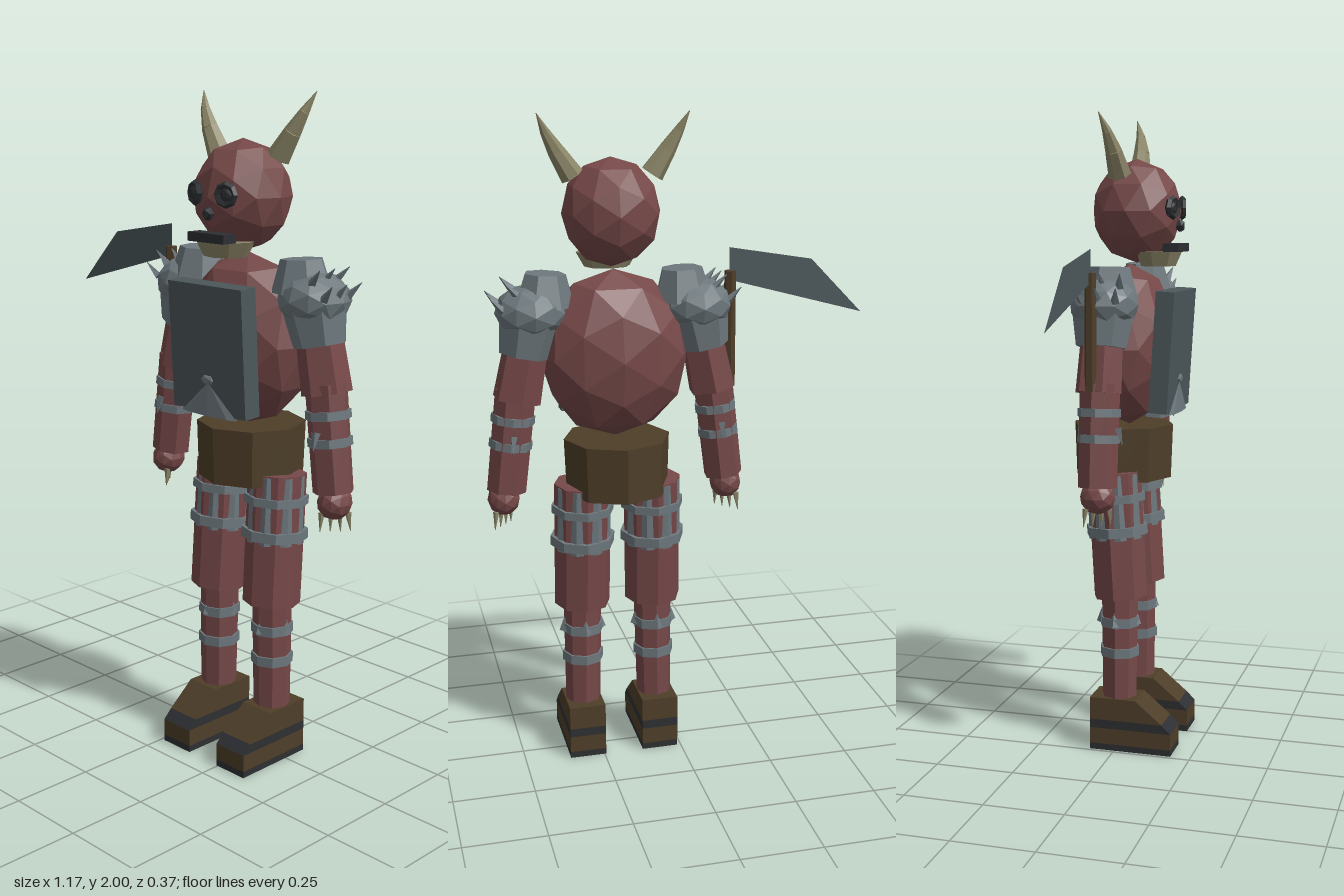
import * as THREE from 'three';

const material = (name, color, side = THREE.FrontSide) => {
  const m = new THREE.MeshStandardMaterial({ color, flatShading: true, side });
  m.name = name;
  return m;
};

export function createModel() {
  const red = material('red skin', 0x764848);
  const steel = material('light steel', 0x6d787d);
  const plate = material('dark steel', 0x4c575a);
  const blade = material('blade steel', 0x4c575a, THREE.DoubleSide);
  const leather = material('brown leather', 0x4e3e29);
  const bone = material('bone', 0x8c8768);
  const black = material('black', 0x2d2f32);

  const model = new THREE.Group();
  const body = new THREE.Group();
  body.name = 'body';
  body.position.x = 0.185;
  model.add(body);

  const add = (name, geometry, mat, pos = [0, 0, 0], parent = body) => {
    const mesh = new THREE.Mesh(geometry, mat);
    mesh.name = name;
    mesh.position.set(...pos);
    parent.add(mesh);
    return mesh;
  };
  // Faceted ball with its own radius on each axis
  const ball = (name, mat, pos, r, detail = 1) =>
    add(name, new THREE.IcosahedronGeometry(1, detail).scale(...r), mat, pos);
  // Tapered rod between two points
  const up = new THREE.Vector3(0, 1, 0);
  const rod = (name, mat, a, b, ra, rb, sides = 8, turn = 0) => {
    const p = new THREE.Vector3(...a), q = new THREE.Vector3(...b);
    const d = q.clone().sub(p);
    const g = new THREE.CylinderGeometry(rb, ra, d.length(), sides).rotateY(turn);
    const mesh = add(name, g, mat, p.clone().add(q).multiplyScalar(0.5).toArray());
    mesh.quaternion.setFromUnitVectors(up, d.normalize());
    return mesh;
  };
  // Band around a limb at fraction t of its axis
  const band = (name, a, b, t, h, r) => {
    const p = new THREE.Vector3(...a), q = new THREE.Vector3(...b);
    const mid = p.clone().lerp(q, t);
    const half = q.clone().sub(p).normalize().multiplyScalar(h / 2);
    rod(name, steel, mid.clone().sub(half).toArray(), mid.clone().add(half).toArray(), r, r);
  };

  // Torso and belt
  ball('torso', red, [0, 1.292, 0.003], [0.228, 0.255, 0.152]);
  rod('belt', leather, [0, 0.87, -0.017], [0, 1.04, -0.017], 0.157, 0.163);

  // Chest plate with a raised fan at its lower edge
  const chest = new THREE.Group();
  chest.name = 'chestPlate';
  chest.position.set(0, 1.28, 0.143);
  chest.rotation.x = 0.06;
  body.add(chest);
  add('chestSlab', new THREE.BoxGeometry(0.295, 0.375, 0.058), plate, [0, 0, 0], chest);
  const fan = new THREE.ConeGeometry(0.115, 0.1, 8).scale(1, 1, 0.12);
  add('chestFan', fan, steel, [0, -0.145, 0.028], chest);
  add('fanKnob', new THREE.IcosahedronGeometry(0.02, 0).scale(1.3, 0.8, 0.4), steel, [0, -0.09, 0.03], chest);

  // Head and face
  ball('head', red, [0, 1.71, 0.026], [0.148, 0.16, 0.142]);
  ball('nose', black, [0, 1.665, 0.165], [0.02, 0.022, 0.016], 0);
  add('mouth', new THREE.BoxGeometry(0.145, 0.026, 0.05), black, [0, 1.598, 0.152]);
  const jaw = new THREE.CylinderGeometry(0.095, 0.07, 0.045, 8).scale(1, 1, 0.8);
  add('jaw', jaw, bone, [0, 1.563, 0.095]);

  for (const s of [-1, 1]) {
    const side = s > 0 ? 'left' : 'right';
    const part = (n) => side + n;

    // Eye: dark ring with a ball inside
    const ring = add(part('EyeRing'), new THREE.TorusGeometry(0.027, 0.011, 5, 8), black, [s * 0.061, 1.72, 0.156]);
    ring.rotation.y = s * 0.3;
    ball(part('Eye'), black, [s * 0.061, 1.72, 0.15], [0.026, 0.026, 0.018]);

    // Horn in three tapering lengths
    const horn = [[0.118, 1.82, 0.003], [0.163, 1.89, -0.004], [0.195, 1.945, -0.015], [0.222, 2, -0.034]];
    const hornR = [0.036, 0.026, 0.015, 0.001];
    for (let i = 0; i < 3; i++) {
      const [a, b] = [horn[i], horn[i + 1]].map(([x, y, z]) => [s * x, y, z]);
      rod(part('Horn'), bone, a, b, hornR[i], hornR[i + 1], 7);
    }

    // Arm
    const shoulder = [s * 0.25, 1.42, -0.01], elbow = [s * 0.3, 1.17, -0.012];
    const forearm = [s * 0.302, 1.2, -0.006], wrist = [s * 0.339, 0.89, -0.004];
    rod(part('UpperArm'), red, shoulder, elbow, 0.064, 0.074, 6);
    rod(part('Forearm'), red, forearm, wrist, 0.062, 0.06, 7);
    band(part('ForearmBand'), forearm, wrist, 0.28, 0.025, 0.066);
    band(part('ForearmBand'), forearm, wrist, 0.53, 0.025, 0.065);
    for (const z of [-1, 1])
      rod(part('ForearmStud'), steel, [s * 0.32, 1.07, z * 0.055], [s * 0.324, 1.02, z * 0.07], 0.014, 0.001, 4);
    ball(part('Hand'), red, [s * 0.348, 0.862, 0], [0.049, 0.052, 0.055]);
    for (let i = 0; i < 4; i++) {
      const x = 0.324 + 0.017 * i, z = 0.028 - 0.019 * i;
      rod(part('Claw'), bone, [s * x, 0.83, z], [s * (x + 0.002 * i), 0.775, z * 1.2], 0.01, 0.001, 5);
    }

    // Shoulder guard: faceted dome, flat collar and lower cuff
    ball(part('ShoulderDome'), steel, [s * 0.25, 1.433, -0.008], [0.107, 0.082, 0.107]);
    rod(part('ShoulderCollar'), steel, [s * 0.21, 1.45, -0.003], [s * 0.205, 1.543, -0.003], 0.09, 0.062, 7);
    rod(part('ShoulderCuff'), steel, [s * 0.275, 1.305, -0.01], [s * 0.25, 1.43, -0.008], 0.077, 0.1, 7);
    for (let i = 0; i < 6; i++) {
      const z = (i % 3 - 1) * 0.05, low = i > 2;
      const x = low ? 0.335 : 0.29, y = low ? 1.445 : 1.485;
      rod(part('ShoulderSpike'), steel, [s * x, y, z], [s * (x + 0.04), y + 0.042, z * 1.25], 0.014, 0.001, 4);
    }

    // Thigh with its guard; the corners of the thigh show through
    const hip = [s * 0.108, 0.9, -0.018], knee = [s * 0.112, 0.5, 0.006];
    rod(part('Thigh'), red, knee, hip, 0.087, 0.088, 8);
    rod(part('ThighGuard'), steel, [s * 0.11, 0.69, -0.006], [s * 0.108, 0.895, -0.018], 0.089, 0.086, 8, Math.PI / 8);
    band(part('ThighBand'), knee, hip, 0.54, 0.03, 0.1);
    band(part('ThighBand'), knee, hip, 0.8, 0.025, 0.097);

    // Shin with two bands and pointed studs
    const ankle = [s * 0.116, 0.13, 0.003], shinTop = [s * 0.112, 0.52, 0.003];
    rod(part('Shin'), red, ankle, shinTop, 0.055, 0.06, 8);
    band(part('ShinBand'), ankle, shinTop, 0.49, 0.03, 0.064);
    band(part('ShinBand'), ankle, shinTop, 0.74, 0.03, 0.064);
    for (let i = 0; i < 4; i++) {
      const a = i * Math.PI / 2, dx = 0.056 * Math.sin(a), dz = 0.056 * Math.cos(a);
      rod(part('ShinStud'), steel, [s * 0.114 + dx, 0.41, dz], [s * 0.114 + dx, 0.455, dz], 0.018, 0.001, 4);
    }

    // Boot in stacked layers: height, heel and toe
    const layers = [
      ['Sole', black, 0, 0.02, 0.186, 0.186],
      ['BootLower', leather, 0.02, 0.072, 0.186, 0.186],
      ['BootStripe', black, 0.072, 0.1, 0.186, 0.157],
      ['BootUpper', leather, 0.1, 0.172, 0.157, 0.07],
    ];
    for (const [n, mat, y0, y1, toe0, toe1] of layers) {
      const outline = new THREE.Shape([[-0.08, y0], [toe0, y0], [toe1, y1], [-0.08, y1]].map((p) => new THREE.Vector2(...p)));
      const g = new THREE.ExtrudeGeometry(outline, { depth: 0.114, bevelEnabled: false });
      g.translate(0, 0, -0.057).rotateY(-Math.PI / 2);
      add(part(n), g, mat, [s * 0.117, 0, 0]);
    }
  }

  // Cleaver beside the right shoulder
  rod('cleaverHandle', leather, [-0.352, 1.18, -0.02], [-0.352, 1.53, -0.02], 0.018, 0.018, 6);
  const edge = [[-0.772, 1.385], [-0.349, 1.502], [-0.349, 1.6], [-0.608, 1.555]];
  add('cleaverBlade', new THREE.ShapeGeometry(new THREE.Shape(edge.map((p) => new THREE.Vector2(...p)))), blade, [0, 0, -0.02]);

  return model;
}
